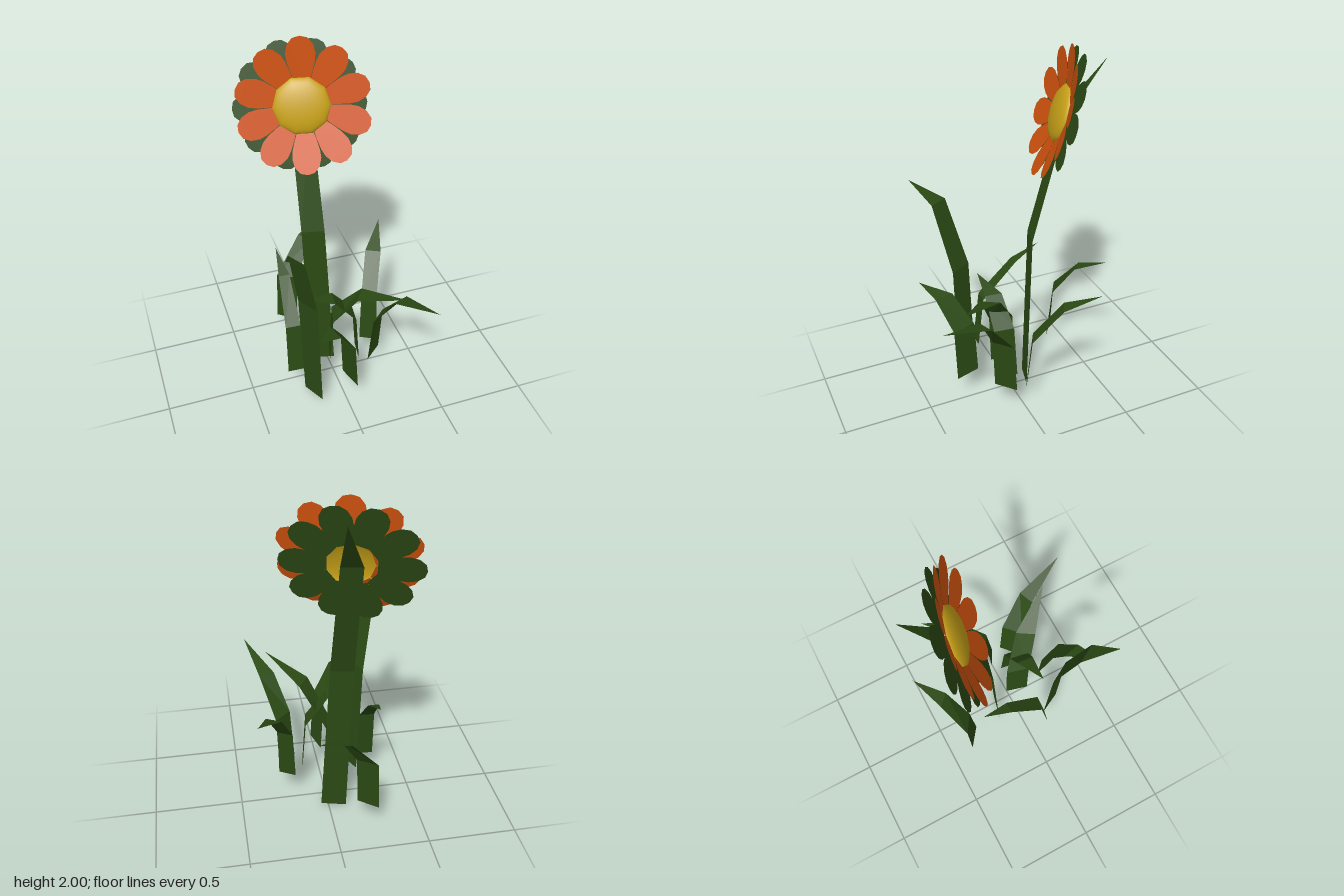
import * as THREE from 'three';

const green = new THREE.MeshStandardMaterial({ color: 0x2b4a14, side: THREE.DoubleSide, flatShading: true });
const orange = new THREE.MeshStandardMaterial({ color: 0xd0520e, side: THREE.DoubleSide });
const yellow = new THREE.MeshStandardMaterial({ color: 0xc8a218, side: THREE.DoubleSide });

// Folded strip: each section is [y, leftX, leftZ, rightX, rightZ], ending in a pointed tip
function blade(name, sections, tip) {
  const pos = [];
  sections.forEach(([y, lx, lz, rx, rz], i) => {
    const l = [lx, y, lz], r = [rx, y, rz];
    if (i === sections.length - 1) {
      pos.push(...l, ...r, ...tip);
      return;
    }
    const [y2, lx2, lz2, rx2, rz2] = sections[i + 1];
    const l2 = [lx2, y2, lz2], r2 = [rx2, y2, rz2];
    pos.push(...l, ...r, ...r2, ...l, ...r2, ...l2);
  });
  const g = new THREE.BufferGeometry();
  g.setAttribute('position', new THREE.Float32BufferAttribute(pos, 3));
  g.computeVertexNormals();
  const mesh = new THREE.Mesh(g, green);
  mesh.name = name;
  return mesh;
}

// Rounded petal pointing along +y, bent forward by `cup` at its tip
function petalGeometry(inner, outer, halfWidth, cup) {
  const len = outer - inner;
  const half = [[0.5, 0], [0.74, 0.22], [0.94, 0.45], [1, 0.63], [0.86, 0.82], [0.5, 0.96]]
    .map(([w, t]) => [w * halfWidth, t]);
  const pts = half.map(([x, t]) => new THREE.Vector2(x, inner + t * len));
  pts.push(new THREE.Vector2(0, outer));
  [...half].reverse().forEach(([x, t]) => pts.push(new THREE.Vector2(-x, inner + t * len)));
  const g = new THREE.ShapeGeometry(new THREE.Shape(pts));
  const p = g.attributes.position;
  for (let i = 0; i < p.count; i++) p.setZ(i, cup * (p.getY(i) - inner) / len);
  g.computeVertexNormals();
  return g;
}

function petalRing(name, geometry, material, offset) {
  const ring = new THREE.Group();
  ring.name = name;
  for (let i = 0; i < 10; i++) {
    const petal = new THREE.Mesh(geometry, material);
    petal.name = 'petal';
    petal.rotation.z = offset + i * Math.PI / 5;
    ring.add(petal);
  }
  return ring;
}

export function createModel() {
  const model = new THREE.Group();
  model.name = 'flower';

  // Stem, a tall folded strip that runs on behind the flower head
  model.add(blade('stem', [
    [0, -0.10, -0.125, 0.04, -0.09],
    [0.95, -0.125, -0.163, 0.0, -0.135],
    [1.64, -0.12, -0.352, -0.01, -0.328],
  ], [0, 1.93, -0.54]));

  // Tall leaf
  model.add(blade('tallLeaf', [
    [0.05, -0.215, 0.135, -0.15, 0.262],
    [0.75, -0.245, 0.15, -0.175, 0.27],
    [1.15, -0.317, 0.248, -0.26, 0.345],
  ], [-0.38, 1.27, 0.43]));

  // Short leaves: base, first bend, second bend, then [tip x, z], bend height and tip height
  const leaves = [
    [[-0.305, 0.107, -0.213, 0.112], [-0.3, 0.07, -0.215, 0.075], [-0.275, -0.13, -0.213, -0.13], [-0.245, -0.29], 0.7, 0.78],
    [[0.18, -0.026, 0.27, 0.023], [0.195, -0.05, 0.275, -0.01], [0.27, -0.196, 0.35, -0.155], [0.41, -0.35], 0.7, 0.785],
    [[0.16, 0.165, 0.262, 0.075], [0.18, 0.185, 0.27, 0.1], [0.254, 0.29, 0.34, 0.256], [0.4, 0.54], 0.7, 0.795],
    [[-0.235, -0.38, -0.13, -0.3], [-0.22, -0.39, -0.115, -0.325], [-0.06, -0.465, 0.0, -0.405], [0.125, -0.54], 0.7, 0.785],
    [[-0.006, 0.2, 0.035, 0.34], [-0.025, 0.21, 0.015, 0.345], [-0.118, 0.3, -0.092, 0.406], [-0.225, 0.455], 0.66, 0.71],
    [[0.135, 0.015, 0.115, 0.14], [0.11, 0.025, 0.095, 0.14], [-0.02, 0.043, -0.03, 0.14], [-0.19, 0.12], 0.65, 0.705],
    [[-0.05, 0.1, -0.015, -0.025], [-0.035, 0.115, 0.0, -0.015], [0.07, 0.21, 0.13, 0.115], [0.29, 0.38], 0.7, 0.79],
  ];
  leaves.forEach(([base, low, high, tip, bendY, tipY]) => model.add(
    blade('leaf', [[0.18, ...base], [0.49, ...low], [bendY, ...high]], [tip[0], tipY, tip[1]])));

  // Flower head, tilted up and sideways
  const head = new THREE.Group();
  head.name = 'flowerHead';
  head.position.set(-0.06, 1.645, -0.315);
  head.quaternion.setFromUnitVectors(new THREE.Vector3(0, 0, 1), new THREE.Vector3(-0.3, 0.31, 1).normalize());

  // Shallow ten-sided dome, open at the back
  const dome = new THREE.SphereGeometry(0.155, 10, 8, 0, Math.PI * 2, 0, Math.PI / 2).rotateX(Math.PI / 2).scale(1, 1, 0.3);
  const centre = new THREE.Mesh(dome, yellow);
  centre.name = 'flowerCentre';
  head.add(centre);

  // Orange petals in front, green sepals behind in the gaps
  const petals = petalRing('petals', petalGeometry(0.125, 0.358, 0.076, 0.05), orange, -0.005);
  petals.position.set(0.01, 0, 0.003);
  const sepals = petalRing('sepals', petalGeometry(0.12, 0.35, 0.077, 0), green, Math.PI / 10);
  sepals.position.set(-0.01, 0, -0.006);
  head.add(petals, sepals);
  model.add(head);

  return model;
}
